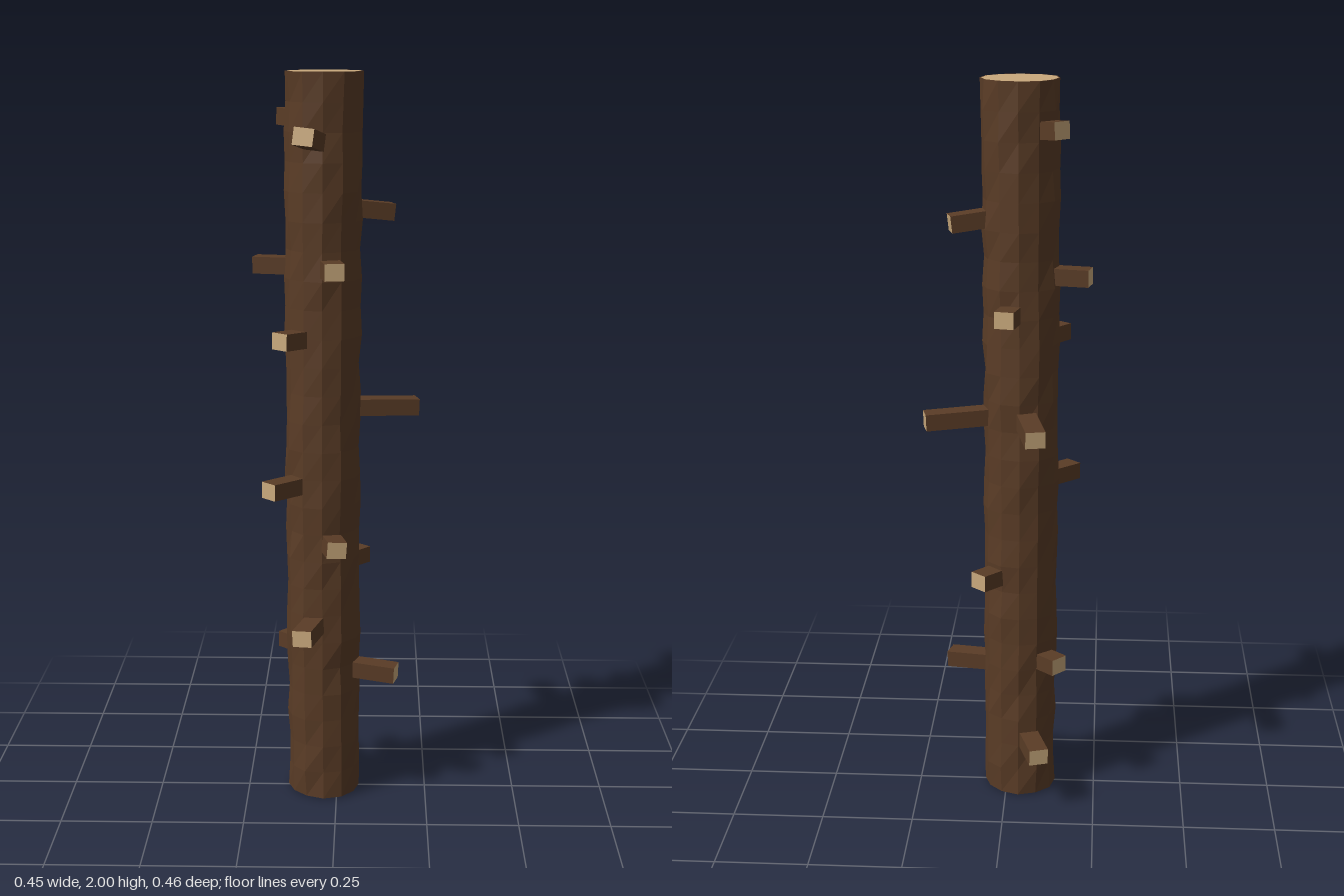
import * as THREE from 'three';

const CX = -0.036, CZ = 0;       // trunk axis
const SIDES = 12, RINGS = 26, RADIUS = 0.1;

const bark = new THREE.MeshStandardMaterial({ color: 0x5a3c26, flatShading: true });
const cutWood = new THREE.MeshStandardMaterial({ color: 0xc9a97c, flatShading: true });

function seeded(seed) {
  return () => {
    seed = (seed * 16807) % 2147483647;
    return seed / 2147483647;
  };
}

// Trunk: stacked rings with a slightly uneven radius and a gentle sway
function buildTrunk() {
  const rand = seeded(4211);
  const rings = [];
  for (let j = 0; j <= RINGS; j++) {
    const t = j / RINGS;
    const flare = 0.004 * t ** 8;
    const ringNoise = (rand() - 0.5) * 0.004;
    const sway = -0.004 * Math.sin(t * Math.PI) + 0.003 * t;
    const ring = [];
    for (let i = 0; i < SIDES; i++) {
      const a = (i / SIDES) * Math.PI * 2;
      const r = RADIUS + flare + ringNoise + (rand() - 0.5) * 0.008;
      ring.push([CX + sway + r * Math.sin(a), 0.003 + 1.997 * t, CZ + r * Math.cos(a)]);
    }
    rings.push(ring);
  }
  const side = [], top = [];
  for (let i = 0; i < SIDES; i++) {
    const n = (i + 1) % SIDES;
    for (let j = 0; j < RINGS; j++) {
      const a = rings[j][i], b = rings[j][n], c = rings[j + 1][n], d = rings[j + 1][i];
      side.push(...a, ...b, ...c, ...a, ...c, ...d);
    }
    // Dark underside, thin bark rim and pale cut face on top
    side.push(CX, 0, CZ, ...rings[0][n], ...rings[0][i]);
    const inset = ([x, y, z]) => [CX + (x - CX) * 0.965, 2, CZ + (z - CZ) * 0.965];
    const p = rings[RINGS][i], q = rings[RINGS][n];
    side.push(...p, ...q, ...inset(q), ...p, ...inset(q), ...inset(p));
    top.push(CX, 2, CZ, ...inset(p), ...inset(q));
  }
  const make = (positions, material, name) => {
    const g = new THREE.BufferGeometry();
    g.setAttribute('position', new THREE.Float32BufferAttribute(positions, 3));
    g.computeVertexNormals();
    const mesh = new THREE.Mesh(g, material);
    mesh.name = name;
    return mesh;
  };
  const trunk = new THREE.Group();
  trunk.name = 'trunk';
  trunk.add(make(side, bark, 'trunkBark'), make(top, cutWood, 'trunkCutTop'));
  return trunk;
}

// Branch stub: square peg pointing outward from the axis, with a pale cut tip
function buildBranch([x, y, z, rise = 0, roll = 0]) {
  const start = new THREE.Vector3(CX, y - rise, CZ);
  const dir = new THREE.Vector3(x, y, z).sub(start);
  const full = dir.length();
  const inner = 0.06;
  const geometry = new THREE.BoxGeometry(0.053, 0.045, full - inner);
  geometry.translate(0, 0, (full + inner) / 2);
  geometry.rotateZ(roll);
  const mesh = new THREE.Mesh(geometry, [bark, bark, bark, bark, cutWood, bark]);
  mesh.position.copy(start);
  mesh.lookAt(x, y, z);
  mesh.name = 'branchStub';
  return mesh;
}

// Tip x, y, z, then rise along the length and roll
const BRANCHES = [
  [-0.098, 0.17, -0.19, -0.01],
  [0.165, 0.362, 0.053, -0.01],
  [-0.15, 0.41, -0.105],
  [-0.09, 0.515, 0.205, 0, 0.05],
  [0.072, 0.66, -0.118],
  [0.003, 0.75, 0.16, 0, -0.08],
  [-0.18, 0.907, 0.138],
  [0.218, 1.1, -0.063, -0.01],
  [-0.086, 1.1, -0.225, -0.018],
  [-0.148, 1.31, 0.128, 0.006],
  [0, 1.4, -0.157],
  [-0.221, 1.492, -0.04],
  [-0.003, 1.497, 0.16],
  [0.147, 1.632, -0.05, -0.022],
  [-0.08, 1.845, 0.22, 0.036, -0.1],
  [-0.145, 1.88, -0.107, 0.01],
];

export function createModel() {
  const group = new THREE.Group();
  group.name = 'branchedPole';
  group.add(buildTrunk());
  BRANCHES.forEach((b) => group.add(buildBranch(b)));
  return group;
}
